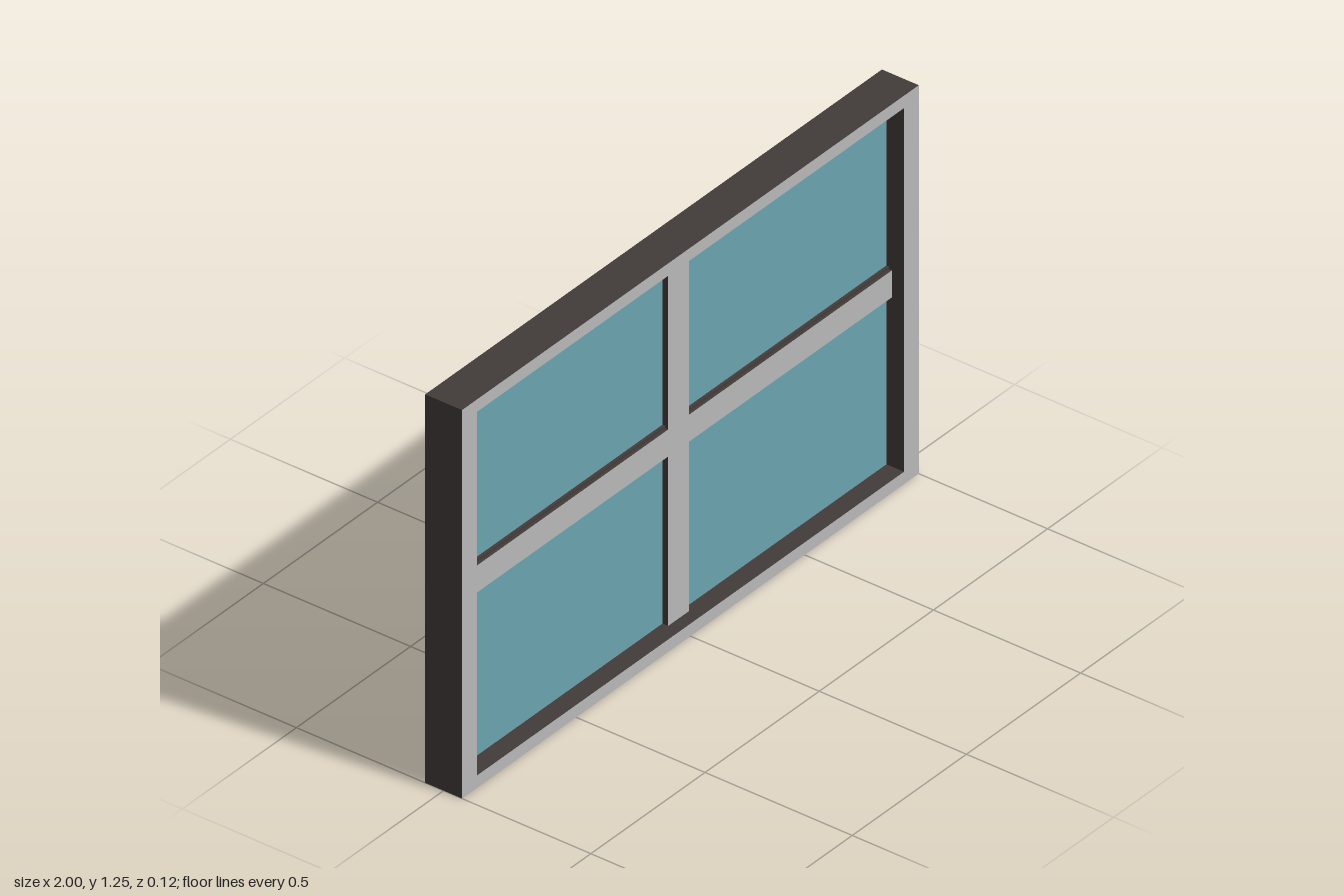
import * as THREE from 'three';

export function createModel() {
  const group = new THREE.Group();
  const mat = (name, color) => {
    const m = new THREE.MeshStandardMaterial({ color });
    m.name = name;
    return m;
  };
  const face = mat('light grey face', 0xb9b8b8);
  const edge = mat('dark edge', 0x423b3a);
  const glass = mat('blue glass', 0x6aa3af);

  const D = 0.0625, H = 1.25;           // half depth, height
  const X = 0.935, Y0 = 0.04, Y1 = 1.21; // frame opening
  const B = 0.045, M0 = 0.585, M1 = 0.672; // glazing bars
  const glassFront = 0.003, glassBack = -0.057, barFront = 0.022;

  // Rectangle outline with optional rounded corners
  const rect = (Type, x0, y0, x1, y1, r = 0) => {
    const s = new Type();
    if (!r) {
      return s.setFromPoints([[x0, y0], [x1, y0], [x1, y1], [x0, y1]].map(p => new THREE.Vector2(...p)));
    }
    s.absarc(x1 - r, y0 + r, r, -Math.PI / 2, 0);
    s.absarc(x1 - r, y1 - r, r, 0, Math.PI / 2);
    s.absarc(x0 + r, y1 - r, r, Math.PI / 2, Math.PI);
    s.absarc(x0 + r, y0 + r, r, Math.PI, Math.PI * 1.5);
    return s;
  };
  // Extrusion between two depths: caps take the first material, edges the second
  const slab = (name, shape, z0, z1, caps, sides) => {
    const geo = new THREE.ExtrudeGeometry(shape, { depth: z1 - z0, bevelEnabled: false, curveSegments: 5 });
    const mesh = new THREE.Mesh(geo, [caps, sides]);
    mesh.position.z = z0;
    mesh.name = name;
    group.add(mesh);
  };

  // Outer frame, open in the middle
  const frame = rect(THREE.Shape, -1, 0, 1, H);
  frame.holes.push(rect(THREE.Path, -X, Y0, X, Y1));
  slab('outerFrame', frame, glassBack, D, face, edge);

  // Rear plate with four rounded openings
  const rear = rect(THREE.Shape, -1, 0, 1, H);
  for (const [x0, x1] of [[-X, -B], [B, X]]) {
    for (const [y0, y1] of [[Y0, M0], [M1, Y1]]) {
      rear.holes.push(rect(THREE.Path, x0, y0, x1, y1, 0.03));
    }
  }
  slab('rearPlate', rear, -D, glassBack, face, edge);

  // Glass behind the bars
  slab('glass', rect(THREE.Shape, -X, Y0, X, Y1), glassBack, glassFront, glass, glass);

  // Cross-shaped glazing bars, set back from the frame front
  const cross = new THREE.Shape([
    [-B, Y0], [B, Y0], [B, M0], [X, M0], [X, M1], [B, M1],
    [B, Y1], [-B, Y1], [-B, M1], [-X, M1], [-X, M0], [-B, M0],
  ].map(p => new THREE.Vector2(...p)));
  slab('glazingBars', cross, glassFront, barFront, face, edge);

  // Narrow dark ledge along the top of the cross bar
  for (const [x0, x1] of [[-X, -B], [B, X]]) {
    slab('ledge', rect(THREE.Shape, x0, M1, x1, M1 + 0.008), glassFront, 0.012, edge, edge);
  }
  return group;
}
